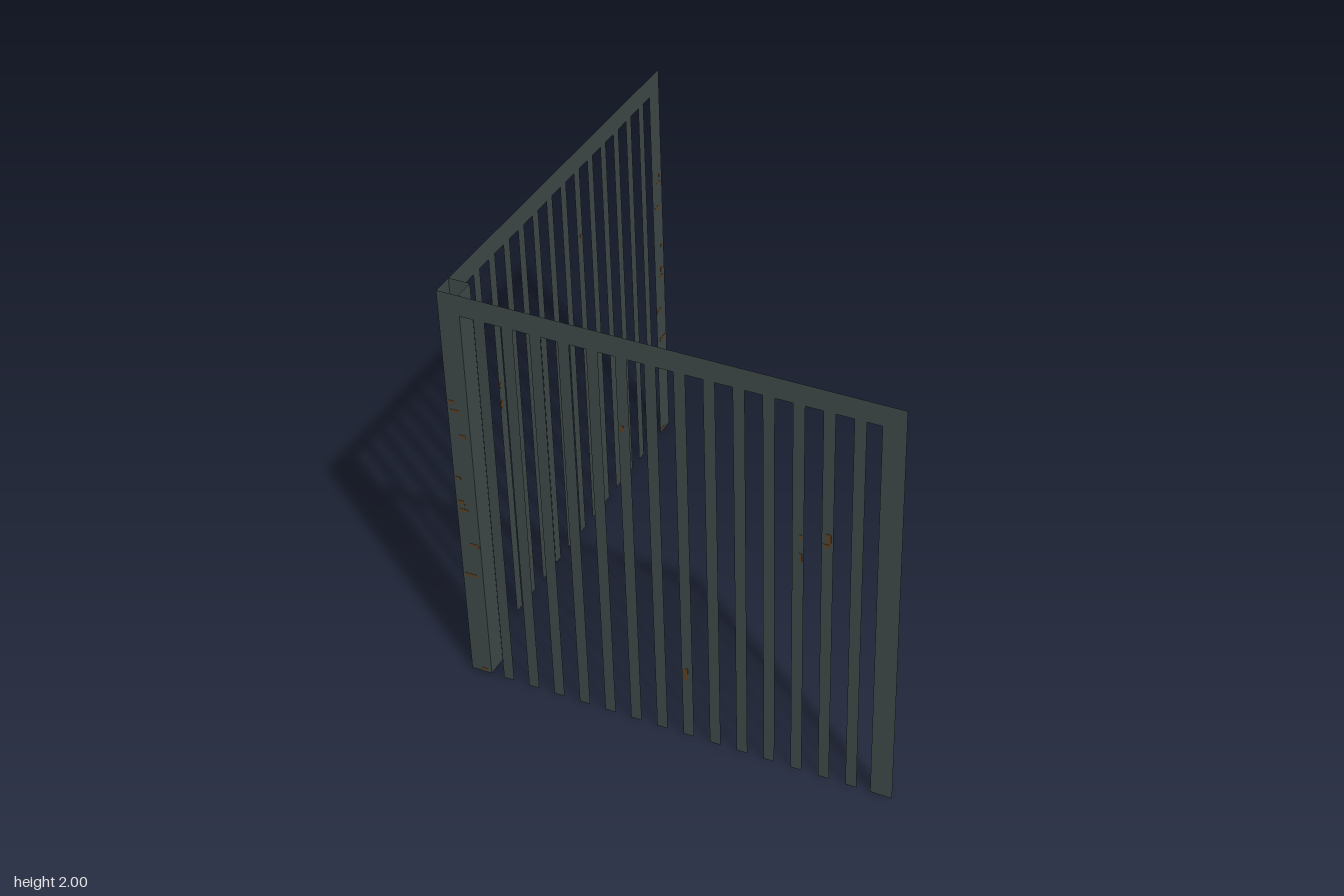
import * as THREE from 'three';

const RAIL = 0.098;   // width of rails and end posts
const BAR = 0.05;     // width of one bar
const BARS = 14;
const PITCH = 0.1253;

const iron = new THREE.MeshStandardMaterial({ color: 0x3d4847, side: THREE.DoubleSide });
iron.name = 'dark painted iron';
const rust = new THREE.MeshStandardMaterial({ color: 0x5e4022 });
rust.name = 'rust brown';

// Rust flecks: [x, y, width, height]
const FLECKS = [
  [-0.98, 1.46, 0.02, 0.02], [-0.965, 1.42, 0.04, 0.012], [-0.94, 1.295, 0.03, 0.015],
  [-0.975, 0.94, 0.03, 0.02], [-0.965, 0.9, 0.04, 0.015], [-0.93, 0.72, 0.04, 0.015],
  [-0.96, 0.547, 0.06, 0.015], [-0.98, 1.07, 0.025, 0.012], [-0.935, 0.015, 0.03, 0.012],
  [0.695, 1.29, 0.02, 0.05], [0.685, 1.255, 0.03, 0.015], [0.575, 1.26, 0.012, 0.03],
  [0.575, 1.16, 0.012, 0.04], [0.057, 0.35, 0.018, 0.06], [-0.195, 1.56, 0.012, 0.03],
];

// Flat sheet centred on x, standing between two heights
function sheet(name, x, width, y0, y1) {
  const mesh = new THREE.Mesh(new THREE.PlaneGeometry(width, y1 - y0), iron);
  mesh.name = name;
  mesh.position.set(x, (y0 + y1) / 2, 0);
  return mesh;
}

// One fence side, 2 x 2, in the local xy plane
function fencePanel(name) {
  const panel = new THREE.Group();
  panel.name = name;
  panel.add(sheet('topRail', 0, 2 - 2 * RAIL, 2 - RAIL, 2));
  for (const side of [-1, 1]) {
    panel.add(sheet('endPost', side * (1 - RAIL / 2), RAIL, 0, 2));
  }
  for (let i = 0; i < BARS; i++) {
    panel.add(sheet('bar', (i - (BARS - 1) / 2) * PITCH, BAR, 0, 2 - RAIL));
  }
  for (const [x, y, w, h] of FLECKS) {
    const fleck = new THREE.Mesh(new THREE.BoxGeometry(w, h, 0.003), rust);
    fleck.name = 'rustFleck';
    fleck.position.set(x, y, 0);
    panel.add(fleck);
  }
  return panel;
}

export function createModel() {
  const model = new THREE.Group();
  model.name = 'cornerFence';

  // Front side along x, and the other side along z at the right-hand edge
  const front = fencePanel('frontPanel');
  front.position.z = 1;
  const side = fencePanel('sidePanel');
  side.rotation.y = -Math.PI / 2;
  side.position.x = -1;
  model.add(front, side);

  // Inner walls that close the square, open-ended corner post
  const backWall = sheet('cornerPostBackWall', -1 + RAIL / 2, RAIL, 0, 2);
  backWall.position.z = 1 - RAIL;
  const innerWall = sheet('cornerPostInnerWall', -1 + RAIL, RAIL, 0, 2);
  innerWall.rotation.y = Math.PI / 2;
  innerWall.position.z = 1 - RAIL / 2;
  model.add(backWall, innerWall);

  return model;
}
